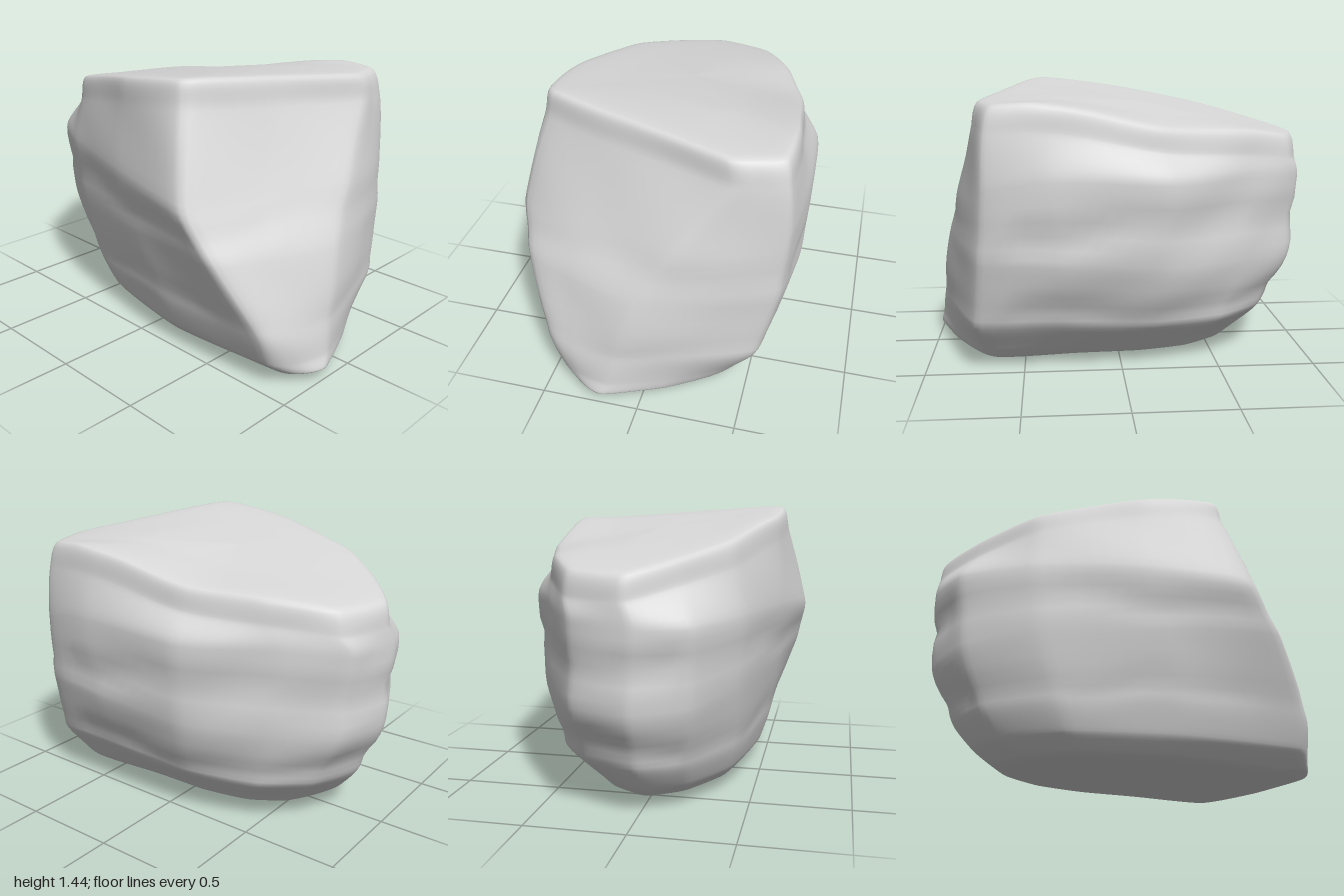
import * as THREE from 'three';

// Outline rings [x, z] from the base upwards, starting at the front right corner
// and running past the right side, back and left side. 'tilt' lowers a ring to the front right.
const RINGS = [
  { at: 0.038, tilt: 0, pts: [[.85, .37], [.95, .29], [.985, .18], [.87, -.12], [.67, -.39], [.25, -.37], [-.1, -.35],
    [-.37, -.29], [-.54, -.18], [-.63, 0], [-.52, .18], [-.26, .34], [.2, .42]] },
  { at: 0.21, tilt: 0, pts: [[.83, .52], [.92, .37], [.96, .12], [.87, -.22], [.73, -.55], [.3, -.58], [-.15, -.56],
    [-.52, -.45], [-.75, -.27], [-.84, 0], [-.73, .23], [-.4, .42], [.2, .53]] },
  { at: 0.45, tilt: 0, pts: [[.66, .65], [.81, .37], [.91, .02], [.83, -.32], [.7, -.63], [.3, -.69], [-.2, -.66],
    [-.62, -.48], [-.88, -.29], [-.97, 0], [-.85, .27], [-.5, .45], [.1, .59]] },
  { at: 0.72, tilt: 0.09, pts: [[.53, .7], [.7, .3], [.83, -.15], [.77, -.42], [.67, -.66], [.35, -.71], [-.2, -.69],
    [-.66, -.47], [-.93, -.28], [-.995, .02], [-.88, .28], [-.55, .47], [0, .62]] },
  { at: 0.905, tilt: 0, pts: [[.43, .59], [.59, .11], [.73, -.37], [.71, -.5], [.65, -.64], [.35, -.66], [-.18, -.61],
    [-.58, -.48], [-.88, -.31], [-.98, -.02], [-.8, .21], [-.53, .42], [0, .58]] },
];
const AROUND = 104;
const UP = 76;

// Height of the sloping top face, dipping towards the left, the back and the right edge
const topHeight = (x, z) =>
  1.36 + 0.14 * x - 0.06 * x * x + 0.06 * z - 0.15 * Math.max(0, x - 0.45)
  - 0.05 * Math.exp(-((x + 0.2) ** 2 + (z + 0.6) ** 2) / 0.12);

const bump = (v, centre, width) => Math.exp(-(((v - centre) / width) ** 2));

// Worn horizontal seams and gentle unevenness, as a sideways scale
function weathering(x, y, z) {
  const angle = Math.atan2(z, x);
  const wave = 0.025 * Math.sin(angle * 3 + 1) + 0.012 * Math.sin(angle * 7);
  const strength = x > 0.55 ? 0.25 : z > 0.2 ? 0.5 : 0.8;
  const seams = 0.035 * bump(y, 0.76 + wave, 0.06) + 0.03 * bump(y, 0.33 - wave, 0.06);
  const uneven = Math.sin(7 * x + 3 * y) * Math.sin(6 * z + 5 * y) + 0.6 * Math.sin(13 * y + 9 * x - 8 * z);
  return 1.003 - strength * seams + 0.006 * uneven;
}

function boulderGeometry() {
  const outlines = RINGS.map(({ pts }) => new THREE.CatmullRomCurve3(
    pts.map(([x, z]) => new THREE.Vector3(x, 0, z)), true, 'catmullrom', 0.25));
  const positions = [];
  const index = [];

  for (let i = 0; i < AROUND; i++) {
    const ring = outlines.map((curve) => curve.getPoint(i / AROUND));
    const base = ring[0];
    const rim = ring[ring.length - 1];
    const floor = (k, y) => new THREE.Vector3(0.1 + (base.x - 0.1) * k, y, base.z * k);
    const roof = (k) => {
      const x = -0.1 + (rim.x + 0.1) * k;
      const z = -0.03 + (rim.z + 0.03) * k;
      return new THREE.Vector3(x, topHeight(x, z), z);
    };
    const sides = ring.map((p, k) => {
      const { at, tilt } = RINGS[k];
      const y = (at - tilt * (p.x + p.z)) * topHeight(Math.min(p.x, 0.7), p.z);
      return new THREE.Vector3(p.x, y, p.z);
    });
    // Foot between the two lowest rings: rounded in front, a straight bevel at the back
    const round = THREE.MathUtils.smoothstep(base.z, -0.3, 0.1);
    const foot = sides[0].clone().lerp(sides[1], 0.34 + 0.18 * round);
    foot.y = 0.12;
    sides.splice(1, 0, foot);
    // One strip from the middle of the underside to the middle of the top
    const strip = new THREE.CatmullRomCurve3([
      floor(0, 0), floor(0.5, 0.006), floor(0.9, 0.03),
      ...sides,
      roof(0.945), roof(0.5), roof(0),
    ], false, 'catmullrom', 0.28);

    for (let j = 0; j <= UP; j++) {
      const p = strip.getPoint(j / UP);
      const s = weathering(p.x, p.y, p.z);
      positions.push(p.x * s, Math.max(0, p.y), p.z * s);
    }
  }

  const row = UP + 1;
  for (let i = 0; i < AROUND; i++) {
    const next = (i + 1) % AROUND;
    for (let j = 0; j < UP; j++) {
      const a = i * row + j;
      const b = next * row + j;
      if (j > 0) index.push(a, b, b + 1);
      if (j < UP - 1) index.push(a, b + 1, a + 1);
    }
  }

  const geometry = new THREE.BufferGeometry();
  geometry.setAttribute('position', new THREE.Float32BufferAttribute(positions, 3));
  geometry.setIndex(index);
  geometry.computeVertexNormals();
  return geometry;
}

export function createModel() {
  const stone = new THREE.MeshStandardMaterial({ color: 0xd8d8d8 });
  stone.name = 'stone grey';
  const boulder = new THREE.Mesh(boulderGeometry(), stone);
  boulder.name = 'boulder';
  const model = new THREE.Group();
  model.name = 'rock';
  model.add(boulder);
  return model;
}
